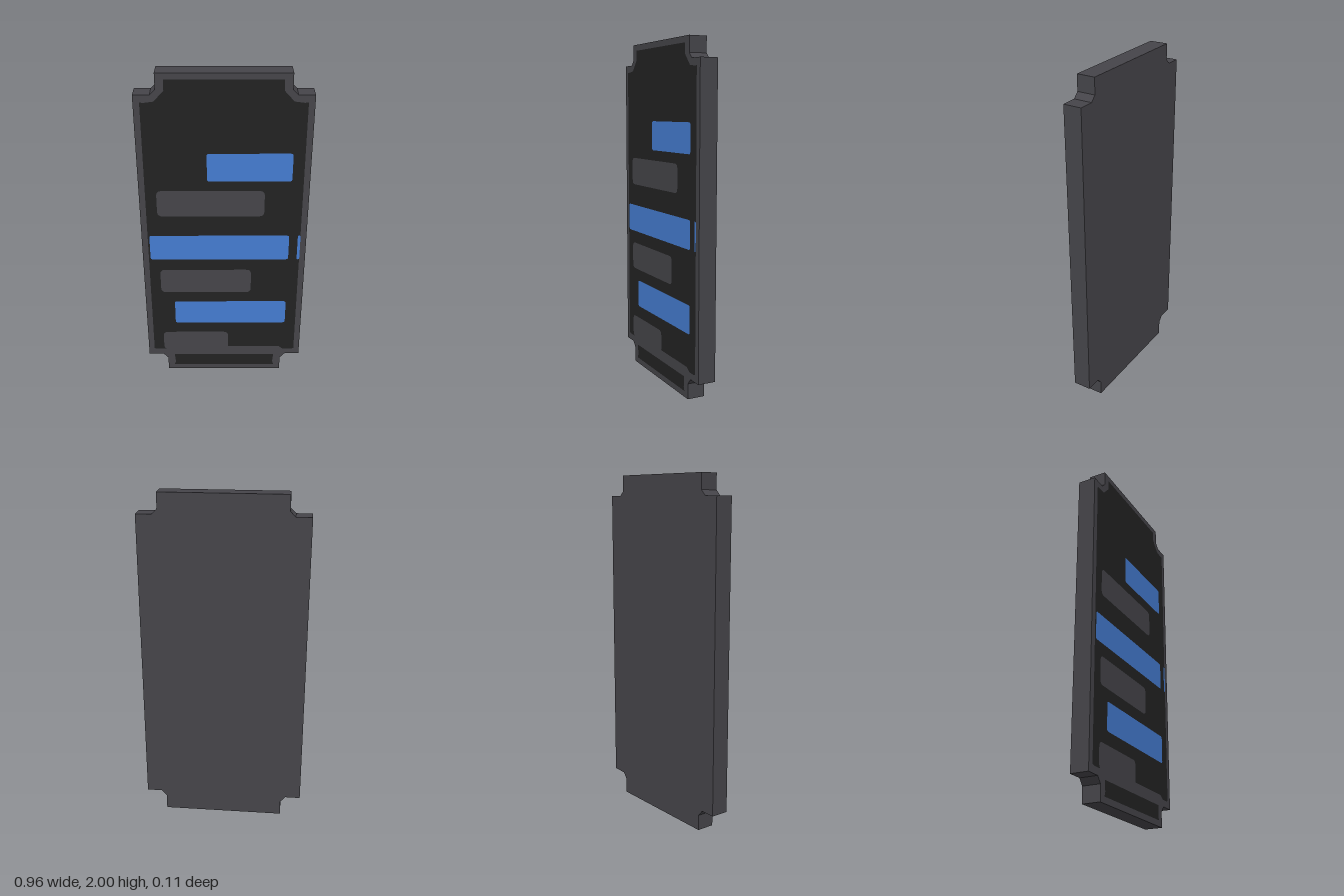
import * as THREE from 'three';

const DEPTH = 0.105;
const FRONT = DEPTH / 2;

// Closed shape from the right-hand half outline (bottom to top), mirrored in x
function mirroredShape(half) {
  const left = half.map(([x, y]) => [-x, y]).reverse();
  return new THREE.Shape([...half, ...left].map(([x, y]) => new THREE.Vector2(x, y)));
}

// Rectangle with softened corners
function barShape(x0, x1, y0, y1, r) {
  const s = new THREE.Shape();
  s.moveTo(x0 + r, y0);
  s.lineTo(x1 - r, y0);
  s.quadraticCurveTo(x1, y0, x1, y0 + r);
  s.lineTo(x1, y1 - r);
  s.quadraticCurveTo(x1, y1, x1 - r, y1);
  s.lineTo(x0 + r, y1);
  s.quadraticCurveTo(x0, y1, x0, y1 - r);
  s.lineTo(x0, y0 + r);
  s.quadraticCurveTo(x0, y0, x0 + r, y0);
  return s;
}

export function createModel() {
  const group = new THREE.Group();
  const material = (name, color) => {
    const m = new THREE.MeshStandardMaterial({ color });
    m.name = name;
    return m;
  };
  const grey = material('casing grey', 0x454449);
  const black = material('screen black', 0x222222);
  const blue = material('message blue', 0x447bd0);

  const add = (name, geometry, mat, z) => {
    const mesh = new THREE.Mesh(geometry, mat);
    mesh.name = name;
    mesh.position.z = z;
    group.add(mesh);
  };
  const plate = (name, shape, mat, lift) =>
    add(name, new THREE.ShapeGeometry(shape, 4), mat, FRONT + lift);

  // Casing slab with four notched corners
  const outline = mirroredShape([
    [0.36, 0], [0.36, 0.09], [0.39, 0.125], [0.48, 0.125],
    [0.48, 1.88], [0.39, 1.88], [0.36, 1.91], [0.36, 2],
  ]);
  add('casing', new THREE.ExtrudeGeometry(outline, { depth: DEPTH, bevelEnabled: false }), grey, -FRONT);

  // Main screen, following the notches
  plate('screen', mirroredShape([
    [0.35, 0.185], [0.375, 0.165], [0.43, 0.165], [0.445, 0.17],
    [0.445, 1.84], [0.425, 1.838], [0.37, 1.845], [0.315, 1.905], [0.315, 1.965],
  ]), black, 0.001);

  // Small panel below the divider
  plate('lowerPanel', mirroredShape([
    [0.32, 0.035], [0.312, 0.06], [0.318, 0.12],
  ]), black, 0.001);

  // Message bars on the screen: x0, x1, y0, y1
  const sent = [
    [-0.095, 0.38, 1.375, 1.545],
    [-0.435, 0.38, 0.855, 1.02],
    [-0.302, 0.38, 0.38, 0.545],
  ];
  const received = [
    [-0.382, 0.23, 1.15, 1.315],
    [-0.382, 0.162, 0.615, 0.78],
    [-0.382, 0.025, 0.165, 0.305],
  ];
  sent.forEach((b, i) => plate(`sentMessage${i + 1}`, barShape(...b, 0.014), blue, 0.002));
  received.forEach((b, i) => plate(`receivedMessage${i + 1}`, barShape(...b, 0.03), grey, 0.002));

  // Sliver of blue at the screen edge
  plate('edgeMarker', barShape(0.43, 0.446, 0.855, 1.02, 0.006), blue, 0.002);

  return group;
}
